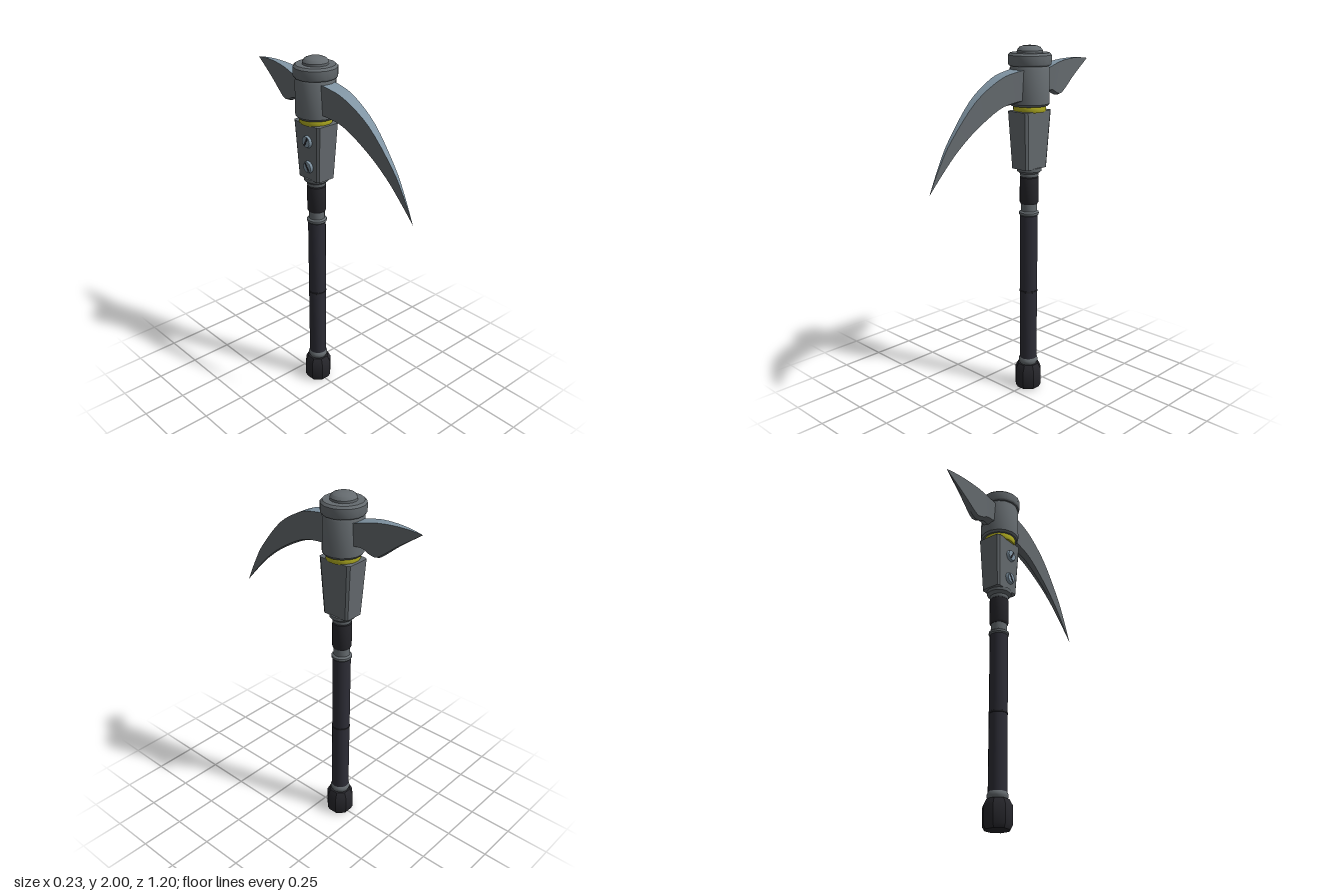
import * as THREE from 'three';
import { toCreasedNormals } from 'three/addons/utils/BufferGeometryUtils.js';

const AXIS_Z = -0.119; // shaft centre line

function material(name, color, side = THREE.FrontSide) {
  const m = new THREE.MeshStandardMaterial({ color, side });
  m.name = name;
  return m;
}

export function createModel() {
  const iron = material('iron grey', 0x656b6f);
  const steel = material('blue steel', 0x8195a4);
  const grip = material('grip charcoal', 0x2d2d36);
  const rubber = material('dark rubber', 0x27272c);
  const yellow = material('yellow band', 0xb4b022);

  const model = new THREE.Group();
  model.name = 'pickaxe';

  function add(name, geometry, mat, parent = model) {
    const mesh = new THREE.Mesh(toCreasedNormals(geometry, 0.6), mat);
    mesh.name = name;
    parent.add(mesh);
    return mesh;
  }

  // Turned part on the shaft axis; profile is [radius, y] from bottom to top
  function turned(name, profile, mat, sides = 16) {
    const points = profile.map(([r, y]) => new THREE.Vector2(r, y));
    const geo = new THREE.LatheGeometry(points, sides, Math.PI / sides);
    geo.translate(0, 0, AXIS_Z);
    return add(name, geo, mat);
  }

  // Shaft, from the pommel up
  turned('pommel', [[0, 0], [0.068, 0], [0.08, 0.022], [0.08, 0.118], [0.062, 0.152], [0, 0.152]], rubber, 8);
  turned('lowerCollar', [[0, 0.15], [0.048, 0.15], [0.056, 0.166], [0.056, 0.178], [0.05, 0.19], [0, 0.19]], iron);
  turned('lowerGrip', [[0.05, 0.18], [0.05, 0.608], [0.047, 0.611]], grip);
  turned('gripSeam', [[0.049, 0.606], [0.052, 0.608], [0.052, 0.616], [0.049, 0.618]], rubber);
  turned('upperGrip', [[0.047, 0.611], [0.05, 0.614], [0.05, 1.07]], grip);
  turned('middleCollar', [[0, 1.065], [0.05, 1.065], [0.056, 1.072], [0.056, 1.084], [0.045, 1.092], [0.045, 1.14]], iron);
  turned('upperSleeve', [[0, 1.133], [0.047, 1.133], [0.053, 1.143], [0.053, 1.285], [0.046, 1.292], [0, 1.292]], rubber);
  turned('neckCollar', [[0.046, 1.285], [0.052, 1.295], [0.052, 1.308], [0.069, 1.322], [0.071, 1.342], [0, 1.345]], iron);

  // Tapered socket block with chamfered corners
  const outline = new THREE.Shape();
  [[1, 0.85], [0.85, 1], [-0.85, 1], [-1, 0.85], [-1, -0.85], [-0.85, -1], [0.85, -1], [1, -0.85]]
    .forEach(([x, y], i) => (i ? outline.lineTo(x, y) : outline.moveTo(x, y)));
  const block = new THREE.ExtrudeGeometry(outline, { depth: 1, bevelEnabled: false });
  block.rotateX(-Math.PI / 2);
  const pos = block.attributes.position;
  for (let i = 0; i < pos.count; i++) {
    const t = pos.getY(i);
    pos.setXYZ(i,
      pos.getX(i) * (0.06 + 0.013 * t),
      1.338 + 0.317 * t,
      pos.getZ(i) * (0.082 + 0.021 * t) + AXIS_Z);
  }
  add('socketBlock', block, iron);

  // Slotted bolts on the right side of the block
  for (const [y, x, turn] of [[1.56, -0.069, 0.5], [1.415, -0.063, -0.6]]) {
    const bolt = new THREE.Group();
    bolt.name = 'bolt';
    const head = new THREE.CylinderGeometry(0.03, 0.039, 0.03, 16);
    add('boltHead', head.rotateZ(Math.PI / 2), steel, bolt);
    const slot = new THREE.BoxGeometry(0.004, 0.05, 0.011).rotateX(turn);
    add('boltSlot', slot, rubber, bolt).position.x = -0.0145;
    bolt.position.set(x, y, AXIS_Z + 0.012);
    model.add(bolt);
  }

  // Head: band, barrel, cap and button
  turned('yellowBand', [[0, 1.65], [0.086, 1.65], [0.09, 1.658], [0.09, 1.682], [0.086, 1.69], [0, 1.69]], yellow);
  turned('headBarrel', [[0, 1.682], [0.1, 1.682], [0.109, 1.694], [0.109, 1.88], [0.1, 1.9]], iron);
  turned('capRing', [[0.1, 1.895], [0.112, 1.895], [0.118, 1.904], [0.118, 1.95], [0.106, 1.962], [0, 1.962]], iron);
  turned('capButton', [[0.07, 1.955], [0.07, 1.974], [0.058, 1.99], [0.034, 1.999], [0, 2]], iron);

  // Blade lofted between top and bottom edge curves, given as [z, y]
  function blade(name, topEdge, bottomEdge, widthAt) {
    const N = 24;
    const curve = (pts) => new THREE.SplineCurve(pts.map(([z, y]) => new THREE.Vector2(z, y)));
    const top = curve(topEdge), bottom = curve(bottomEdge);
    const forward = topEdge.at(-1)[0] > topEdge[0][0];
    const rings = [];
    for (let i = 0; i <= N; i++) {
      const t = top.getPoint(i / N), b = bottom.getPoint(i / N);
      const w = widthAt(t.x), v = widthAt(b.x) * 0.85;
      const keel = v * 0.4;
      rings.push([[w, t.y, t.x], [-w, t.y, t.x], [-v, b.y + keel, b.x], [0, b.y, b.x], [v, b.y + keel, b.x]]);
    }
    const loft = (columns) => {
      const verts = [];
      for (let i = 0; i < N; i++) {
        for (let k = 0; k + 1 < columns.length; k++) {
          const [p, q] = [columns[k], columns[k + 1]];
          const a = rings[i][p], b = rings[i][q], c = rings[i + 1][q], d = rings[i + 1][p];
          verts.push(...(forward ? [a, b, c, a, c, d] : [a, c, b, a, d, c]).flat());
        }
      }
      const geo = new THREE.BufferGeometry();
      geo.setAttribute('position', new THREE.Float32BufferAttribute(verts, 3));
      geo.computeVertexNormals();
      return geo;
    };
    const group = new THREE.Group();
    group.name = name;
    add(name + 'Top', loft([0, 1]), steel, group);
    add(name + 'Sides', loft([1, 2, 3, 4, 0]), iron, group);
    model.add(group);
  }

  blade('frontPick',
    [[-0.05, 1.878], [0.02, 1.872], [0.14, 1.84], [0.3, 1.74], [0.455, 1.565], [0.53, 1.445], [0.6, 1.305]],
    [[-0.05, 1.7], [0.02, 1.699], [0.14, 1.675], [0.3, 1.587], [0.42, 1.495], [0.51, 1.405], [0.6, 1.305]],
    (z) => Math.max(0, 0.046 * (1 - z / 0.6)));

  blade('rearSpike',
    [[-0.18, 1.862], [-0.228, 1.878], [-0.285, 1.893], [-0.34, 1.905], [-0.4, 1.912], [-0.47, 1.915], [-0.54, 1.912], [-0.597, 1.905]],
    [[-0.18, 1.738], [-0.228, 1.74], [-0.27, 1.742], [-0.31, 1.724], [-0.35, 1.72], [-0.4, 1.755], [-0.47, 1.813], [-0.597, 1.905]],
    (z) => Math.max(0, 0.042 * (z + 0.597) / 0.36));

  return model;
}
